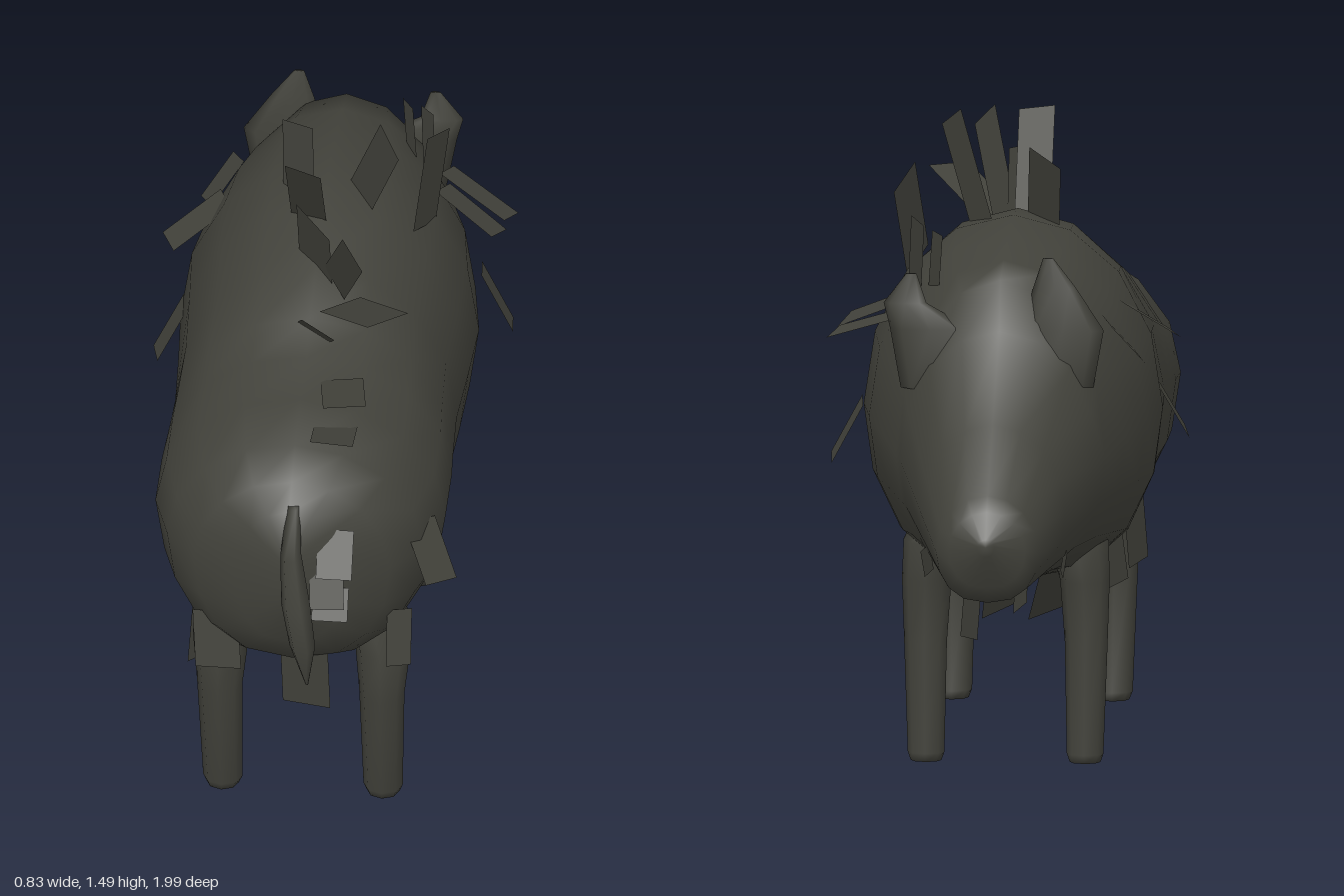
import * as THREE from 'three';

// Skin over a row of rings (each ring runs counterclockwise seen from the starting end)
function loft(rings) {
  const n = rings[0].length, pos = [], idx = [];
  for (const r of rings) for (const p of r) pos.push(...p);
  for (let i = 0; i < rings.length - 1; i++) for (let j = 0; j < n; j++) {
    const a = i * n + j, b = i * n + (j + 1) % n;
    idx.push(a, a + n, b, b, a + n, b + n);
  }
  // End caps
  for (const i of [0, rings.length - 1]) {
    const c = pos.length / 3;
    pos.push(...[0, 1, 2].map(k => rings[i].reduce((s, p) => s + p[k], 0) / n));
    for (let j = 0; j < n; j++) {
      const a = i * n + j, b = i * n + (j + 1) % n;
      if (i === 0) idx.push(c, a, b); else idx.push(c, b, a);
    }
  }
  const g = new THREE.BufferGeometry();
  g.setAttribute('position', new THREE.Float32BufferAttribute(pos, 3));
  g.setIndex(idx);
  g.computeVertexNormals();
  return g;
}

const around = (n, f) => Array.from({ length: n }, (_, j) => f(Math.cos(j / n * 2 * Math.PI), Math.sin(j / n * 2 * Math.PI)));

// Horizontal rings from the top down: [y, x centre, z centre, x radius, z radius]
const limb = (sections, n) => loft(sections.map(([y, x, z, rx, rz]) => around(n, (c, s) => [x + rx * c, y, z - rz * s])));

// Flat bristle tuft: base, tip, half width, turn of its width direction (0 = x, 90 = z)
function tuft([x0, y0, z0, x1, y1, z1, half, turn]) {
  const base = new THREE.Vector3(x0, y0, z0), tip = new THREE.Vector3(x1, y1, z1);
  const dir = tip.clone().sub(base).normalize(), a = turn * Math.PI / 180;
  const w = new THREE.Vector3(Math.cos(a), 0, Math.sin(a));
  w.addScaledVector(dir, -w.dot(dir)).setLength(half);
  const pts = [base.clone().sub(w), base.clone().add(w), tip.clone().add(w), tip.clone().sub(w)];
  const g = new THREE.BufferGeometry().setFromPoints(pts);
  g.setIndex([0, 1, 2, 0, 2, 3]);
  g.computeVertexNormals();
  return g;
}

export function createModel() {
  const model = new THREE.Group();
  const hide = new THREE.MeshStandardMaterial({ color: 0x42423b });
  hide.name = 'dark hide';
  const bristle = new THREE.MeshStandardMaterial({ color: 0x41413a, side: THREE.DoubleSide });
  bristle.name = 'dark bristle';
  const add = (name, geometry, material = hide, parent = model) => {
    const m = new THREE.Mesh(geometry, material);
    m.name = name;
    parent.add(m);
  };

  // Body from rump to snout: [z, bottom, widest height, top, half width]
  const body = [
    [0.87, 0.7, 0.78, 0.87, 0.03], [0.83, 0.58, 0.77, 0.95, 0.13],
    [0.78, 0.5, 0.77, 1.0, 0.23], [0.7, 0.45, 0.78, 1.05, 0.3],
    [0.57, 0.425, 0.78, 1.09, 0.34], [0.42, 0.405, 0.79, 1.105, 0.34],
    [0.34, 0.395, 0.79, 1.16, 0.335], [0.2, 0.38, 0.8, 1.21, 0.33],
    [0.02, 0.38, 0.8, 1.26, 0.34], [-0.13, 0.41, 0.82, 1.27, 0.35],
    [-0.3, 0.44, 0.82, 1.245, 0.325], [-0.43, 0.465, 0.8, 1.215, 0.285],
    [-0.535, 0.475, 0.77, 1.185, 0.245], [-0.57, 0.478, 0.76, 1.07, 0.232],
    [-0.78, 0.487, 0.68, 0.885, 0.17], [-0.94, 0.492, 0.61, 0.745, 0.12],
    [-0.965, 0.53, 0.62, 0.71, 0.09], [-0.998, 0.61, 0.635, 0.65, 0.02]
  ];
  // The lower half is a little boxier than the upper half
  add('bodyAndHead', loft(body.map(([z, lo, mid, hi, w]) => around(16, (c, s) => [
    w * Math.sign(c) * Math.abs(c) ** (s < 0 ? 0.8 : 1) - 0.008, mid + s * (s > 0 ? hi - mid : mid - lo), z]))));

  for (const side of [-1, 1]) {
    const name = side > 0 ? 'left' : 'right';
    // Legs, with their tops sunk into the body
    add(name + 'HindLeg', limb([
      [0.61, side * 0.14, 0.58, 0.06, 0.08], [0.52, side * 0.172, 0.59, 0.075, 0.09],
      [0.44, side * 0.19, 0.612, 0.066, 0.075], [0.32, side * 0.19, 0.642, 0.053, 0.052],
      [0.02, side * 0.188, 0.592, 0.046, 0.04], [0, side * 0.188, 0.59, 0.038, 0.034]], 8));
    add(name + 'ForeLeg', limb([
      [0.61, side * 0.14, -0.23, 0.06, 0.09], [0.52, side * 0.17, -0.245, 0.07, 0.085],
      [0.43, side * 0.185, -0.256, 0.058, 0.062], [0.28, side * 0.188, -0.255, 0.05, 0.046],
      [0.02, side * 0.186, -0.264, 0.043, 0.037], [0, side * 0.186, -0.265, 0.036, 0.03]], 8));
    // Ears, thin and lying against the skull; the left one droops outward
    const [tipX, tipY] = side > 0 ? [0.2, 1.2] : [0.12, 1.24];
    add(name + 'Ear', limb([
      [tipY, side * tipX, -0.54, 0.012, 0.004], [tipY - 0.07, side * (tipX + 0.015), -0.537, 0.05, 0.014],
      [1.07, side * 0.155, -0.538, 0.095, 0.028], [0.93, side * 0.14, -0.54, 0.085, 0.03]], 8));
  }

  // Tail
  add('tail', limb([
    [0.96, 0, 0.81, 0.015, 0.03], [0.87, 0, 0.88, 0.024, 0.042], [0.76, 0.015, 0.925, 0.034, 0.05],
    [0.665, 0.035, 0.962, 0.03, 0.04], [0.55, 0.045, 0.955, 0.003, 0.003]], 6));

  const tufts = {
    maneTuft: [
      [0, 1.12, 0.34, 0.03, 1.27, 0.54, 0.045, 40], [0.06, 1.19, 0.32, 0.19, 1.28, 0.5, 0.055, -38],
      [0.04, 1.2, 0.25, 0.1, 1.41, 0.43, 0.045, 55], [-0.01, 1.15, 0.17, -0.01, 1.37, 0.25, 0.065, 50],
      [-0.04, 1.2, 0.02, -0.04, 1.47, 0.19, 0.045, 20], [0.06, 1.2, -0.07, 0.15, 1.47, 0.05, 0.05, 55],
      [-0.07, 1.2, -0.02, -0.08, 1.4, -0.1, 0.06, 50], [0.22, 1.15, -0.07, 0.245, 1.36, -0.15, 0.07, 108],
      [0.21, 1.12, -0.3, 0.2, 1.29, -0.34, 0.034, 60], [0.16, 1.13, -0.38, 0.15, 1.27, -0.39, 0.028, 60]],
    flankTuft: [
      [0.24, 1.1, -0.3, 0.38, 1.035, -0.22, 0.04, 75], [0.24, 1.08, -0.4, 0.4, 1.02, -0.31, 0.035, 75],
      [-0.26, 1.09, -0.22, -0.39, 1, -0.16, 0.045, 75], [-0.25, 1.07, -0.42, -0.32, 0.98, -0.36, 0.04, 80],
      [0.33, 0.86, -0.32, 0.405, 0.72, -0.3, 0.04, 80], [-0.34, 0.88, -0.1, -0.41, 0.75, -0.06, 0.045, 85],
      [0.28, 0.83, 0.66, 0.34, 0.72, 0.75, 0.05, 120]],
    rumpTuft: [
      [0.1, 0.9, 0.82, 0.1, 0.8, 0.88, 0.042, 0], [0.08, 0.83, 0.84, 0.085, 0.72, 0.89, 0.04, 0],
      [0.09, 0.75, 0.84, 0.09, 0.68, 0.88, 0.042, 0], [-0.19, 0.6, 0.75, -0.18, 0.46, 0.78, 0.055, 10],
      [0.02, 0.53, 0.77, 0.025, 0.355, 0.76, 0.058, 12], [0.24, 0.62, 0.73, 0.24, 0.48, 0.76, 0.03, -20],
      [0.08, 1.05, 0.6, 0.08, 1.08, 0.73, 0.05, 15], [0.08, 1.09, 0.48, 0.1, 1.11, 0.62, 0.05, -20]],
    bellyTuft: [
      [-0.08, 0.44, 0.34, -0.08, 0.27, 0.42, 0.055, 130], [0.04, 0.43, 0.22, 0.06, 0.255, 0.3, 0.05, 130],
      [-0.1, 0.42, 0.12, -0.06, 0.27, 0.2, 0.055, 130], [-0.24, 0.5, 0.52, -0.25, 0.33, 0.56, 0.04, 120],
      [0.08, 0.45, -0.16, 0.09, 0.28, -0.21, 0.035, 120], [-0.05, 0.5, -0.43, -0.05, 0.4, -0.48, 0.05, 70],
      [-0.18, 0.48, 0.36, -0.2, 0.3, 0.4, 0.055, 130]],
    jawTuft: [
      [0.16, 0.57, -0.65, 0.15, 0.51, -0.65, 0.05, 98], [-0.17, 0.57, -0.65, -0.16, 0.51, -0.65, 0.05, 82]]
  };
  for (const [name, list] of Object.entries(tufts)) {
    const group = new THREE.Group();
    group.name = name + 's';
    list.forEach((t, i) => add(name + (i + 1), tuft(t), bristle, group));
    model.add(group);
  }
  return model;
}
